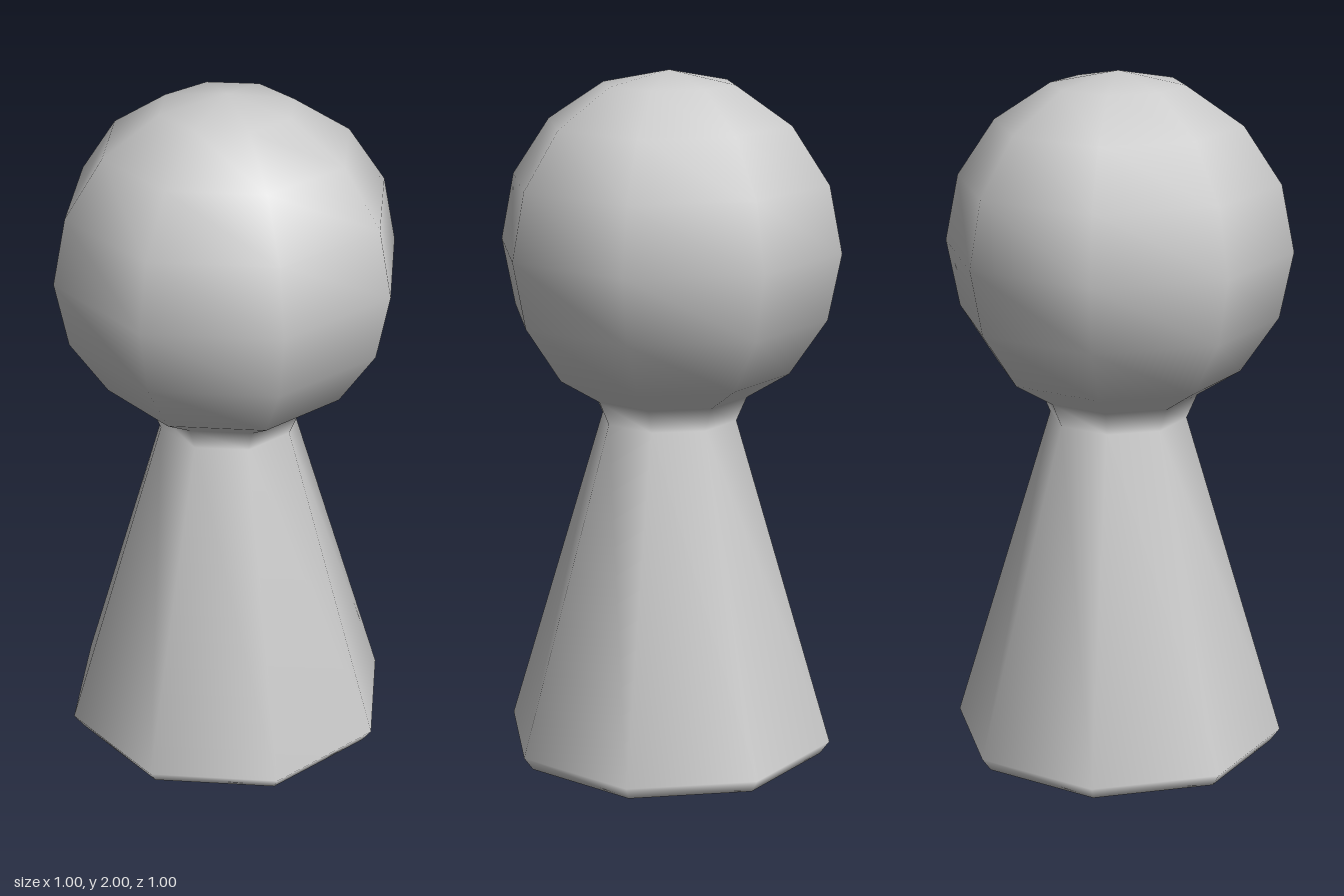
import * as THREE from 'three';
import { mergeVertices } from 'three/addons/utils/BufferGeometryUtils.js';

const SIDES = 8;
const HEAD_RADIUS = 0.5;
const HEAD_Y = 1.5;

export function createModel() {
  const group = new THREE.Group();
  group.name = 'pawn';

  // Flared base with a small bevel, tapering to the neck
  const profile = [[0, 0], [0.46, 0], [0.488, 0.04], [0.2, 1.0], [0.23, 1.07]]
    .map(([r, y]) => new THREE.Vector2(r, y));

  // Ball head: arc rising in 22.5 degree steps to the top
  for (let i = 6; i >= 0; i--) {
    const a = (i * Math.PI) / 8;
    profile.push(new THREE.Vector2(HEAD_RADIUS * Math.sin(a), HEAD_Y + HEAD_RADIUS * Math.cos(a)));
  }

  // Weld seam and poles so that the whole skin shades smoothly
  let geometry = new THREE.LatheGeometry(profile, SIDES);
  geometry.deleteAttribute('normal');
  geometry.deleteAttribute('uv');
  geometry = mergeVertices(geometry, 1e-4);
  geometry.computeVertexNormals();

  const body = new THREE.Mesh(geometry, new THREE.MeshStandardMaterial({ color: 0xcccccc }));
  body.name = 'pawnBody';
  group.add(body);
  return group;
}
